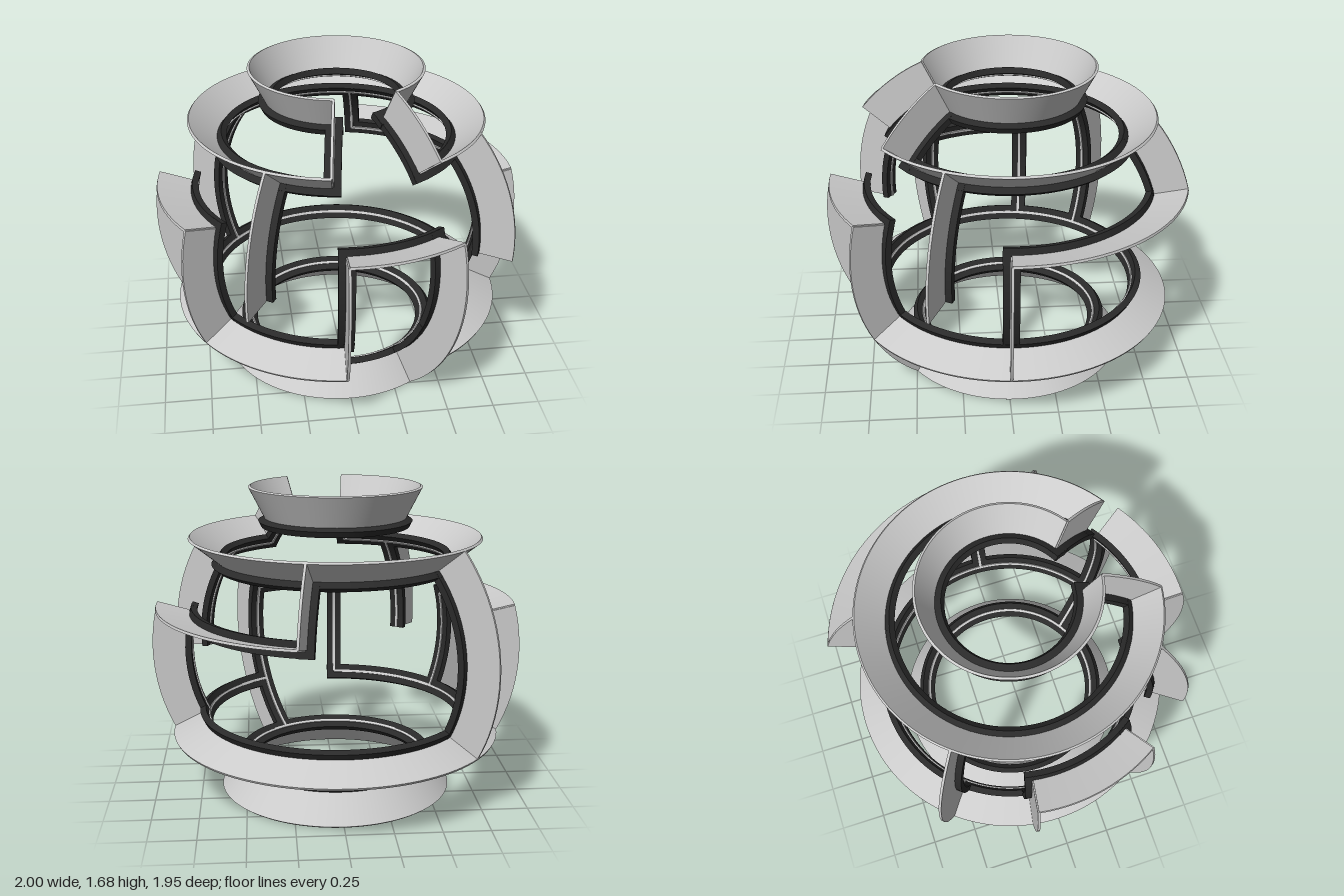
import * as THREE from 'three';

const R_OUT = 1.005, R_IN = 0.78;          // wall depth, measured from the globe's centre
const FOOT_IN = 0.787, FOOT_OUT = 0.822;   // dark foot strip along the inner edge
const WALL_HALF = 0.007, FOOT_HALF = 0.043;
const rad = THREE.MathUtils.degToRad, deg = THREE.MathUtils.radToDeg;

// Box bent onto the sphere: x runs along azimuth, y along elevation, z along the radius.
// halfAz and halfEl thicken the box sideways by a constant distance.
function sphereBox({ az, el, r, halfAz = 0, halfEl = 0 }) {
  const nAz = Math.max(1, Math.ceil((az[1] - az[0]) / 3));
  const nEl = Math.max(1, Math.ceil((el[1] - el[0]) / 3));
  const geo = new THREE.BoxGeometry(1, 1, 1, nAz, nEl, 1);
  const pos = geo.attributes.position;
  const p = new THREE.Vector3(), east = new THREE.Vector3(), north = new THREE.Vector3();
  for (let i = 0; i < pos.count; i++) {
    const u = pos.getX(i), v = pos.getY(i), w = pos.getZ(i);
    const a = rad(THREE.MathUtils.lerp(az[0], az[1], u + 0.5));
    const e = rad(THREE.MathUtils.lerp(el[0], el[1], v + 0.5));
    const sa = Math.sin(a), ca = Math.cos(a), se = Math.sin(e), ce = Math.cos(e);
    east.set(ca, 0, -sa);
    north.set(-sa * se, ce, -ca * se);
    p.set(sa * ce, se, ca * ce).multiplyScalar(THREE.MathUtils.lerp(r[0], r[1], w + 0.5));
    p.addScaledVector(east, 2 * u * halfAz).addScaledVector(north, 2 * v * halfEl);
    pos.setXYZ(i, p.x, p.y, p.z);
  }
  geo.computeVertexNormals();
  return geo;
}

export function createModel() {
  const model = new THREE.Group();
  model.name = 'globeMaze';
  const grey = new THREE.MeshStandardMaterial({ color: 0xcccccc });
  const dark = new THREE.MeshStandardMaterial({ color: 0x2a2a2a });

  function addWall(name, wallGeo, footGeo) {
    const group = new THREE.Group();
    group.name = name;
    const wall = new THREE.Mesh(wallGeo, grey);
    wall.name = name + 'Wall';
    const foot = new THREE.Mesh(footGeo, dark);
    foot.name = name + 'Foot';
    group.add(wall, foot);
    model.add(group);
  }

  // Conical wall following one line of latitude
  function ring(name, el, from, to) {
    const extra = to - from < 360 ? deg(FOOT_HALF / (0.8 * Math.cos(rad(el)))) : 0;
    addWall(name,
      sphereBox({ az: [from, to], el: [el, el], r: [R_IN, R_OUT], halfEl: WALL_HALF }),
      sphereBox({ az: [from - extra, to + extra], el: [el, el], r: [FOOT_IN, FOOT_OUT], halfEl: FOOT_HALF }));
  }

  // Upright wall following one meridian
  function rib(name, az, low, high) {
    const extra = deg(FOOT_HALF / 0.8);
    const lowEnd = low === LEVEL.free ? low : low - extra;
    addWall(name,
      sphereBox({ az: [az, az], el: [low, high], r: [R_IN, R_OUT], halfAz: WALL_HALF }),
      sphereBox({ az: [az, az], el: [lowEnd, high + extra], r: [FOOT_IN, FOOT_OUT], halfAz: FOOT_HALF }));
  }

  // Elevations of the maze rows, in degrees
  const LEVEL = { top: 63, upper: 39, middle: 15, free: -5, lower: -27, bottom: -51 };

  // Rings; azimuth 0 is the front, 90 is +x
  ring('topRing', LEVEL.top, 33, 351);
  ring('upperRing', LEVEL.upper, 33, 351);
  ring('frontMiddleArc', LEVEL.middle, -3.5, 33);
  ring('backLeftMiddleArc', LEVEL.middle, 87, 165.5);
  ring('rightMiddleArc', LEVEL.middle, 261, 302);
  ring('lowerRing', LEVEL.lower, 33, 356.5);
  ring('bottomRing', LEVEL.bottom, 0, 360);

  // Ribs
  rib('topRightRib', -9, LEVEL.upper, LEVEL.top);
  rib('topLeftRib', 33, LEVEL.upper, LEVEL.top);
  rib('frontRib', -3.5, LEVEL.lower, LEVEL.middle);
  rib('frontLeftLongRib', 33, LEVEL.bottom, LEVEL.middle);
  rib('leftHangingRib', 63, LEVEL.free, LEVEL.upper);
  rib('leftRib', 87, LEVEL.lower, LEVEL.middle);
  rib('backRib', 165.5, LEVEL.middle, LEVEL.upper);
  rib('backRightLongRib', 231, LEVEL.lower, LEVEL.upper);
  rib('rightRib', 261, LEVEL.lower, LEVEL.middle);
  rib('frontRightRib', 302, LEVEL.lower, LEVEL.middle);
  rib('rightHangingRib', 327, LEVEL.free, LEVEL.upper);

  for (const part of model.children) part.position.set(0, 0.787, -0.035);
  return model;
}
